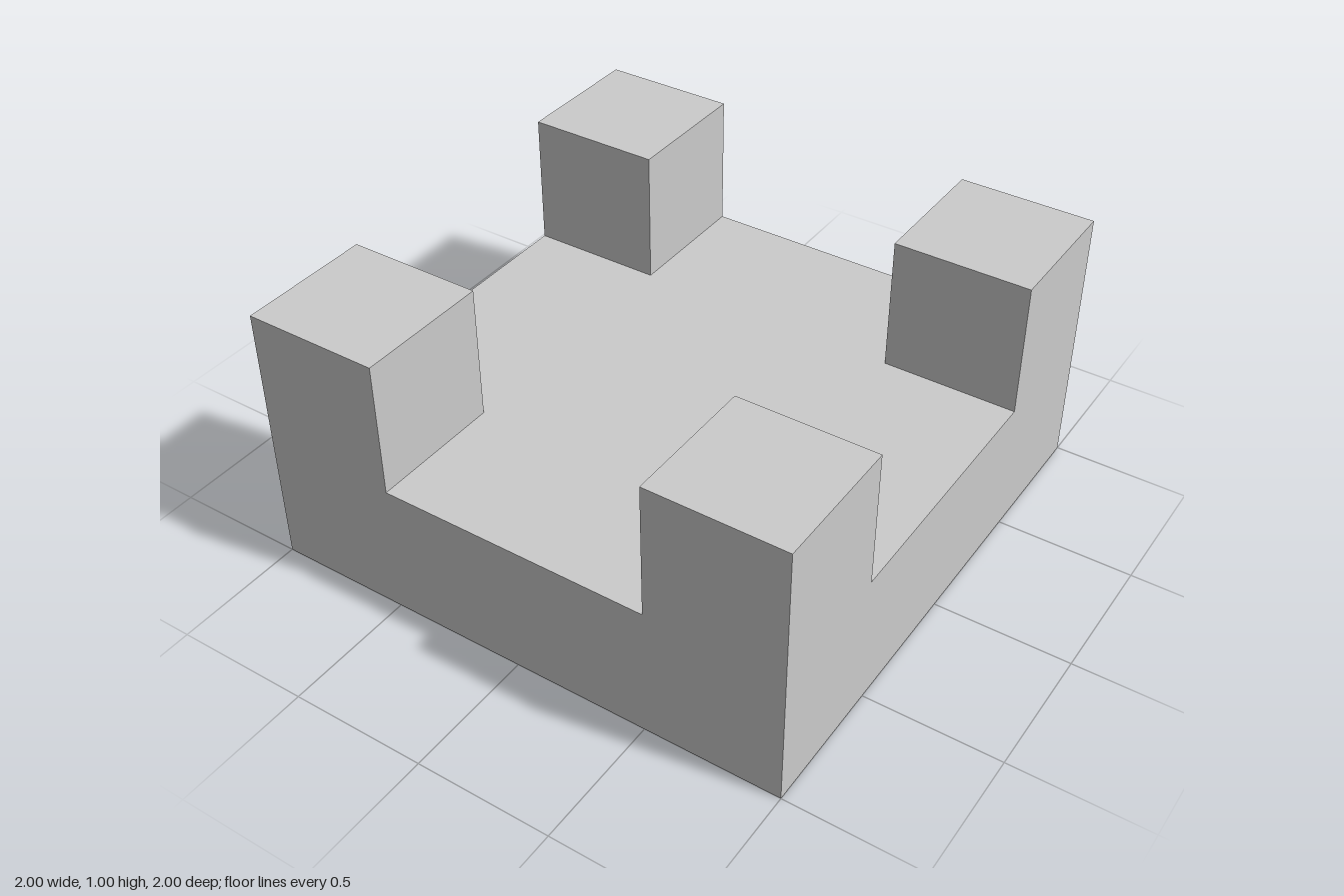
import * as THREE from 'three';

const material = new THREE.MeshStandardMaterial({ color: 0xcccccc, flatShading: true, side: THREE.DoubleSide });

// Flat panel from a list of outline corners
function panel(name, corners) {
  const shape = new THREE.Shape(corners.map(([x, y]) => new THREE.Vector2(x, y)));
  const mesh = new THREE.Mesh(new THREE.ShapeGeometry(shape), material);
  mesh.name = name;
  return mesh;
}

// Square panel of the corner towers
function square(name, x, y, z) {
  const mesh = new THREE.Mesh(new THREE.PlaneGeometry(0.5, 0.5), material);
  mesh.name = name;
  mesh.position.set(x, y, z);
  return mesh;
}

export function createModel() {
  const model = new THREE.Group();
  model.name = 'hollowCastleBlock';

  // Cross-shaped deck, open beneath the four towers
  const deck = panel('deck', [
    [-0.5, -1], [0.5, -1], [0.5, -0.5], [1, -0.5], [1, 0.5], [0.5, 0.5],
    [0.5, 1], [-0.5, 1], [-0.5, 0.5], [-1, 0.5], [-1, -0.5], [-0.5, -0.5],
  ]);
  deck.rotation.x = -Math.PI / 2;
  deck.position.y = 0.5;
  model.add(deck);

  for (let i = 0; i < 4; i++) {
    const side = new THREE.Group();
    side.name = 'side' + (i + 1);
    side.rotation.y = i * Math.PI / 2;

    // Notched outer wall, reaching up to the tower tops
    const wall = panel('outerWall', [
      [-1, 0], [1, 0], [1, 1], [0.5, 1], [0.5, 0.5], [-0.5, 0.5], [-0.5, 1], [-1, 1],
    ]);
    wall.position.z = 1;

    // Hollow corner tower: top and two inward-facing walls
    const tower = new THREE.Group();
    tower.name = 'cornerTower';
    const top = square('towerTop', 0.75, 1, 0.75);
    top.rotation.x = -Math.PI / 2;
    const innerX = square('towerInnerWall', 0.5, 0.75, 0.75);
    innerX.rotation.y = -Math.PI / 2;
    const innerZ = square('towerInnerWall', 0.75, 0.75, 0.5);
    innerZ.rotation.y = Math.PI;
    tower.add(top, innerX, innerZ);

    side.add(wall, tower);
    model.add(side);
  }
  return model;
}
